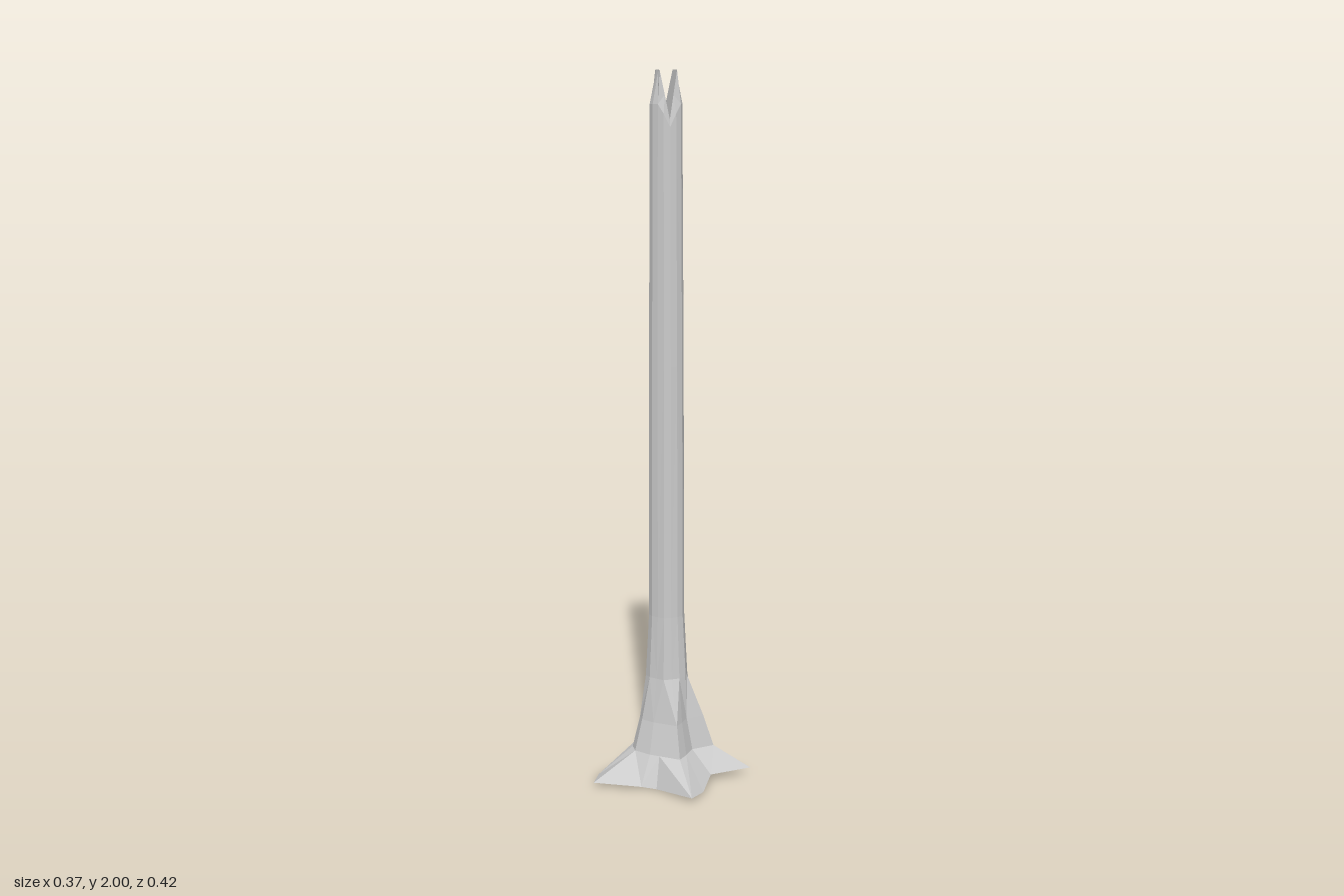
import * as THREE from 'three';

const N = 16, CX = -0.033;

// Root outline on the ground: x, y, z per column
const base = [
  [0.113, 0.02, 0], [0.14, 0.005, 0.09], [0.147, 0.015, 0.167], [0.01, 0, 0.13],
  [-0.03, 0.005, 0.147], [-0.15, 0.015, 0.21], [-0.185, 0.005, 0.13], [-0.163, 0.02, 0.04],
  [-0.178, 0.02, 0], [-0.187, 0.015, -0.09], [-0.146, 0.005, -0.105], [-0.105, 0, -0.12],
  [-0.03, 0.03, -0.21], [0.04, 0, -0.12], [0.11, 0.005, -0.113], [0.185, 0.02, -0.105],
];
// Radius where the roots meet the flared trunk
const knee = [0.085, 0.105, 0.13, 0.1, 0.098, 0.105, 0.1, 0.095, 0.097, 0.108, 0.098, 0.09, 0.13, 0.09, 0.1, 0.135];

function ring(fn) {
  return Array.from({ length: N }, (_, k) => fn(k));
}

// Irregular, nearly round section of the trunk
function trunkRing(y, r, bump = 0.03) {
  return ring((k) => {
    const a = (k / N) * Math.PI * 2;
    const rr = r * (1 + bump * Math.sin(k * 2.4 + 0.8));
    return [CX + rr * Math.cos(a), y, rr * Math.sin(a)];
  });
}

// Split top: two straight ridges with a V-shaped notch between them
function crownRing() {
  const corner = (deg, r, y) => {
    const a = THREE.MathUtils.degToRad(deg);
    return new THREE.Vector3(CX + r * Math.cos(a), y, r * Math.sin(a));
  };
  const stops = [
    [2, corner(45, 0.04, 1.87)], [4, corner(90, 0.034, 2)], [8, corner(180, 0.034, 2)],
    [10, corner(225, 0.04, 1.87)], [12, corner(270, 0.034, 2)], [16, corner(360, 0.034, 2)],
    [18, corner(45, 0.04, 1.87)],
  ];
  return ring((k) => {
    const c = k < 2 ? k + N : k;
    const i = stops.findIndex((s, j) => j < 6 && c >= s[0] && c <= stops[j + 1][0]);
    const [k0, p] = stops[i], [k1, q] = stops[i + 1];
    return p.clone().lerp(q, (c - k0) / (k1 - k0)).toArray();
  });
}

function mesh(name, positions, index) {
  const g = new THREE.BufferGeometry();
  g.setAttribute('position', new THREE.Float32BufferAttribute(positions.flat(), 3));
  g.setIndex(index);
  g.computeVertexNormals();
  const m = new THREE.Mesh(g, new THREE.MeshStandardMaterial({ color: 0xcccccc, flatShading: true }));
  m.name = name;
  return m;
}

// Skin a stack of rings, from bottom to top
function loft(name, rings) {
  const index = [];
  for (let j = 0; j < rings.length - 1; j++) {
    for (let k = 0; k < N; k++) {
      const n = (k + 1) % N;
      const a = j * N + k, b = j * N + n, c = a + N, d = b + N;
      if (k % 2) index.push(a, c, b, b, c, d);
      else index.push(a, c, d, a, d, b);
    }
  }
  return mesh(name, rings.flat(), index);
}

export function createModel() {
  const group = new THREE.Group();
  group.name = 'treeTrunk';

  // Spreading roots
  const kneeRing = ring((k) => {
    const [x, , z] = base[k];
    const a = Math.atan2(z, x - CX);
    return [CX + knee[k] * Math.cos(a), k === 12 ? 0.11 : 0.085, knee[k] * Math.sin(a)];
  });
  group.add(loft('roots', [base, kneeRing]));

  // Hollow underside
  const under = [];
  for (let k = 0; k < N; k++) under.push(N, k, (k + 1) % N);
  group.add(mesh('underside', [...base, [CX, 0.025, 0]], under));

  // Flared foot, keeping a softened trace of the roots
  const flare = ring((k) => {
    const [x, , z] = kneeRing[k];
    const s = k === 12 ? 0.6 : 0.78;
    return [CX + (x - CX) * s, 0.175, z * s];
  });
  group.add(loft('flare', [kneeRing, flare, trunkRing(0.3, 0.06, 0.06)]));

  // Long stem, ending in an uneven shoulder
  const shoulder = trunkRing(1.91, 0.045).map(([x, y, z], k) => {
    const d = Math.min(Math.abs(k - 2), Math.abs(k - 10));
    return [x, y - (d === 0 ? 0.06 : d === 1 ? 0.025 : 0), z];
  });
  const crown = crownRing();
  group.add(loft('stem', [
    trunkRing(0.3, 0.06, 0.06), trunkRing(0.48, 0.051, 0.04), trunkRing(1.2, 0.049), shoulder,
  ]));
  group.add(loft('splitTop', [shoulder, crown]));

  // Two sloping faces of the notch
  const notch = [];
  for (const start of [2, 10]) {
    for (let i = 1; i < 8; i++) notch.push(start, (start + i + 1) % N, (start + i) % N);
  }
  group.add(mesh('notch', crown, notch));
  return group;
}
